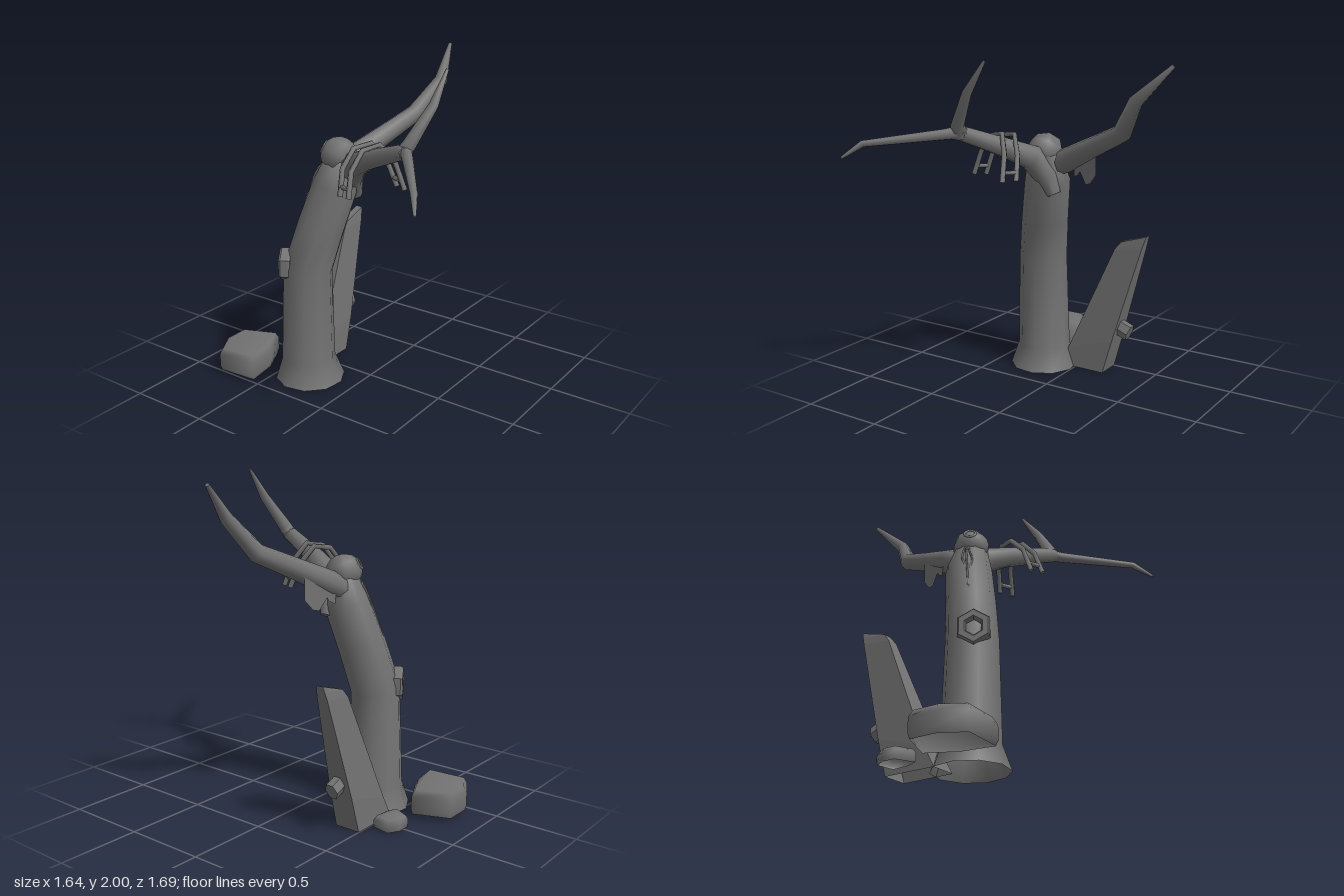
import * as THREE from 'three';

const V = (x, y, z) => new THREE.Vector3(x, y, z);
const smooth = new THREE.MeshStandardMaterial({ color: 0x727272, side: THREE.DoubleSide });
const flat = new THREE.MeshStandardMaterial({ color: 0x727272, side: THREE.DoubleSide, flatShading: true });

// Skin over a stack of equal-sized rings: capped at both ends,
// or open below with a softly joined top
function skin(rings, open = false) {
  const n = rings[0].length, last = rings.length - 1;
  const points = rings.flat();
  const index = [];
  for (let i = 0; i < last; i++) {
    for (let j = 0; j < n; j++) {
      const k = (j + 1) % n, a = i * n, b = a + n;
      index.push(a + j, a + k, b + k, a + j, b + k, b + j);
    }
  }
  const start = points.length, end = open ? last * n : start + n;
  if (!open) points.push(...rings[0], ...rings[last]);
  for (let j = 1; j < n - 1; j++) {
    index.push(end, end + j, end + j + 1);
    if (!open) index.push(start, start + j + 1, start + j);
  }
  const geometry = new THREE.BufferGeometry().setFromPoints(points);
  geometry.setIndex(index);
  geometry.computeVertexNormals();
  return geometry;
}

// Tapered limb through stations [x, y, z, radius]; a rooted one stands level and open on the ground
function limb(stations, sides = 8, rooted = false) {
  const centers = stations.map(([x, y, z]) => V(x, y, z));
  const last = centers.length - 1;
  let normal = V(1, 0, 0.13);
  return skin(centers.map((c, i) => {
    const before = c.clone().sub(centers[Math.max(i - 1, 0)]).normalize();
    const after = centers[Math.min(i + 1, last)].clone().sub(c).normalize();
    const t = rooted && i === 0 ? V(0, 1, 0) : before.add(after).normalize();
    normal = normal.clone().addScaledVector(t, -normal.dot(t)).normalize();
    const side = t.clone().cross(normal);
    return Array.from({ length: sides }, (_, j) => {
      const a = (j / sides) * Math.PI * 2, r = stations[i][3];
      return c.clone().addScaledVector(normal, r * Math.cos(a)).addScaledVector(side, r * Math.sin(a));
    });
  }), rooted);
}

// Stone from a plan outline, scaled about its middle at each [y, scale]
function stone(outline, levels) {
  const cx = outline.reduce((s, p) => s + p[0], 0) / outline.length;
  const cz = outline.reduce((s, p) => s + p[1], 0) / outline.length;
  return skin(levels.map(([y, s]) => outline.map(([x, z]) => V(cx + (x - cx) * s, y, cz + (z - cz) * s))), true);
}

export function createModel() {
  const model = new THREE.Group();
  const add = (name, geometry, mat = smooth, parent = model) => {
    const mesh = new THREE.Mesh(geometry, mat);
    mesh.name = name;
    parent.add(mesh);
    return mesh;
  };
  const back = V(-0.5, 0, -0.85).normalize();

  // Leaning trunk with a flared foot
  add('trunk', limb([
    [-0.215, 0, -0.31, 0.215], [-0.22, 0.14, -0.315, 0.165], [-0.22, 0.73, -0.305, 0.15],
    [-0.165, 1.0, -0.24, 0.144], [-0.105, 1.25, -0.175, 0.138], [-0.095, 1.42, -0.13, 0.095],
  ], 10, true));

  // Branches
  add('leftBranch', limb([
    [-0.07, 1.33, -0.175, 0.065], [0.04, 1.38, -0.165, 0.075], [0.25, 1.48, -0.09, 0.062],
    [0.49, 1.59, -0.01, 0.054], [0.62, 1.78, 0.085, 0.04], [0.81, 1.97, 0.03, 0.012],
  ]));
  add('rightBranch', limb([
    [-0.01, 1.175, -0.1, 0.04], [-0.06, 1.28, -0.095, 0.07], [-0.12, 1.4, -0.025, 0.078],
    [-0.19, 1.465, 0.12, 0.06], [-0.3, 1.58, 0.42, 0.045], [-0.33, 1.585, 0.46, 0.038],
  ]));
  add('upperTwig', limb([
    [-0.3, 1.57, 0.42, 0.045], [-0.29, 1.63, 0.46, 0.04], [-0.17, 1.82, 0.525, 0.028], [-0.05, 1.99, 0.53, 0.009],
  ]));
  add('lowerTwig', limb([
    [-0.28, 1.59, 0.42, 0.04], [-0.36, 1.577, 0.49, 0.032], [-0.72, 1.53, 0.765, 0.02], [-0.817, 1.452, 0.835, 0.008],
  ]));

  // Ball on the crown with a ring set into its back
  const ringDirection = back.clone().setY(0.55).normalize();
  const crownBall = add('crownBall', new THREE.SphereGeometry(0.108, 8, 8));
  crownBall.position.set(-0.105, 1.43, -0.15);
  crownBall.quaternion.setFromUnitVectors(V(0, 1, 0), ringDirection);
  const crownRing = add('crownRing', new THREE.TorusGeometry(0.033, 0.009, 6, 10));
  crownRing.position.copy(crownBall.position).addScaledVector(ringDirection, 0.1);
  crownRing.lookAt(crownRing.position.clone().add(ringDirection));

  // Thin strands trailing down the back of the trunk
  for (const [offset, bottom] of [[-0.025, 1.2], [0, 1.05], [0.02, 1.23]]) {
    const at = (y, spread, lift) => {
      const k = (y - 1) / 0.25;
      return V(-0.165 + 0.06 * k, y, -0.24 + 0.065 * k)
        .addScaledVector(back, 0.144 - 0.006 * k + lift)
        .add(V(0.86 * spread, 0, -0.5 * spread));
    };
    const path = new THREE.CatmullRomCurve3([
      at(1.43, offset * 0.5, -0.04), at(1.34, offset * 0.8, 0.0),
      at((1.34 + bottom) / 2, offset * 1.3, 0.004), at(bottom, offset * 0.6, -0.002),
    ]);
    add('strand', new THREE.TubeGeometry(path, 8, 0.006, 5));
  }

  // Six-sided knothole rim on the back
  const rim = new THREE.Shape();
  const hole = new THREE.Path();
  for (const [path, w, h] of [[rim, 0.092, 0.095], [hole, 0.056, 0.06]]) {
    path.setFromPoints(Array.from({ length: 6 }, (_, i) => {
      const a = Math.PI / 2 + (i * Math.PI) / 3;
      return new THREE.Vector2(w * Math.cos(a), h * Math.sin(a));
    }));
    path.closePath();
  }
  rim.holes.push(hole);
  const knot = add('knotholeRim', new THREE.ExtrudeGeometry(rim, {
    depth: 0.045, bevelEnabled: true, bevelThickness: 0.012, bevelSize: 0.008, bevelSegments: 1,
  }), flat);
  knot.position.set(-0.235, 0.757, -0.292).addScaledVector(back, 0.11);
  knot.lookAt(knot.position.clone().add(back));

  // Pair of hoops draped over the right branch, tied by short rungs
  const hoops = [
    [[-0.415, 1.3, 0.15], [-0.37, 1.44, 0.135], [-0.28, 1.54, 0.145], [-0.18, 1.56, 0.19], [-0.12, 1.45, 0.255], [-0.1, 1.3, 0.305]],
    [[-0.385, 1.29, 0.07], [-0.34, 1.44, 0.055], [-0.25, 1.535, 0.065], [-0.15, 1.55, 0.11], [-0.085, 1.44, 0.175], [-0.06, 1.3, 0.225]],
  ].map(list => list.map(p => V(...p)));
  const hoopGroup = new THREE.Group();
  hoopGroup.name = 'drapedHoops';
  model.add(hoopGroup);
  for (const points of hoops) {
    add('hoop', limb(points.map(p => [p.x, p.y, p.z, 0.016]), 6), smooth, hoopGroup);
  }
  for (const [a, b] of [[0, 1], [5, 4]]) {
    const [p, q] = hoops.map(h => h[a].clone().lerp(h[b], 0.35));
    add('rung', limb([[p.x, p.y, p.z, 0.013], [q.x, q.y, q.z, 0.013]], 6), smooth, hoopGroup);
  }

  // Ragged scrap hanging behind the left branch
  const scrap = new THREE.Shape([
    [0.05, 1.38], [0.06, 1.27], [0.1, 1.29], [0.11, 1.31], [0.16, 1.24], [0.2, 1.25], [0.25, 1.31], [0.25, 1.47],
  ].map(p => new THREE.Vector2(...p)));
  const scrapGeometry = new THREE.ShapeGeometry(scrap);
  const scrapPoints = scrapGeometry.attributes.position;
  for (let i = 0; i < scrapPoints.count; i++) scrapPoints.setZ(i, -0.235 + 0.36 * scrapPoints.getX(i));
  scrapGeometry.computeVertexNormals();
  add('hangingScrap', scrapGeometry, flat);

  // Slanted fin beside the trunk: [left x, left y, right x, right y, half thickness]
  const fin = [
    [-0.12, 0, 0.2, 0, 0.08], [-0.05, 0.13, 0.262, 0.22, 0.076], [0.25, 0.81, 0.435, 0.83, 0.035],
    [0.29, 0.86, 0.45, 0.88, 0.028], [0.37, 0.885, 0.46, 0.912, 0.022],
  ].map(([x0, y0, x1, y1, h]) => [
    V(x0, y0, -0.42 + h), V(x1, y1, -0.42 + h), V(x1, y1, -0.42 - h), V(x0, y0, -0.42 - h),
  ]);
  add('fin', skin(fin, true), flat);
  const peg = add('finPeg', new THREE.CylinderGeometry(0.048, 0.048, 0.09, 6), flat);
  peg.position.set(0.308, 0.29, -0.418);
  peg.rotation.z = -Math.PI / 2 - 0.38;
  peg.scale.set(1.15, 1, 0.9);

  // Stones behind the trunk
  add('largeStone', stone(
    [[-0.52, -0.51], [-0.32, -0.54], [-0.14, -0.63], [-0.23, -0.85], [-0.4, -0.85], [-0.54, -0.77]],
    [[0.03, 0.95], [0.06, 1], [0.14, 1], [0.178, 0.88]],
  ));
  add('smallStone', stone(
    [[-0.07, -0.58], [0.0, -0.55], [0.11, -0.54], [0.13, -0.65], [0.06, -0.69], [-0.02, -0.69]],
    [[0.012, 0.95], [0.03, 1], [0.06, 1], [0.083, 0.85]],
  ));

  return model;
}
